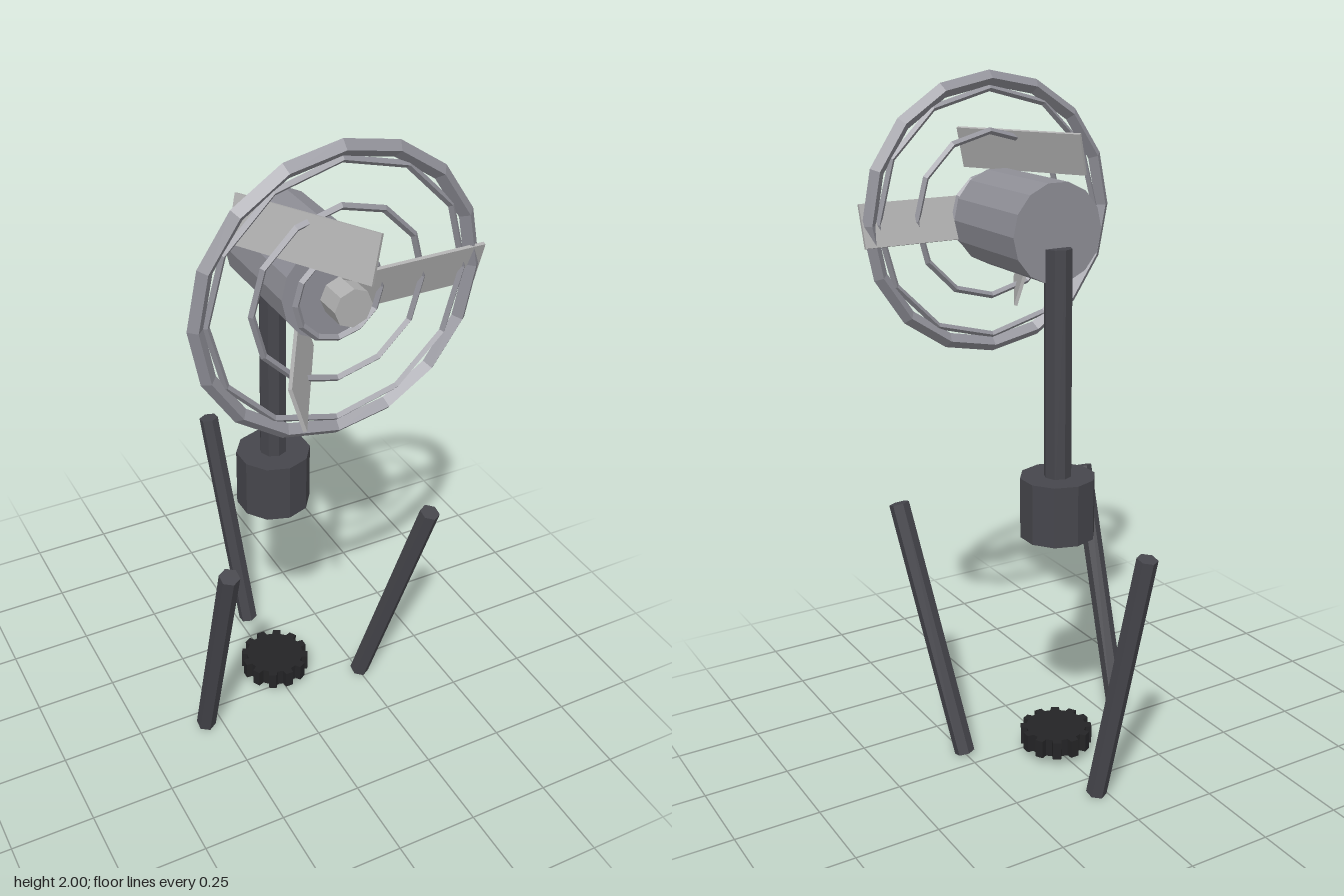
import * as THREE from 'three';

const material = (color) => new THREE.MeshStandardMaterial({ color, flatShading: true });

export function createModel() {
  const model = new THREE.Group();
  const dark = material(0x46464c);
  const black = material(0x242426);
  const steel = material(0x8e8e96);
  const light = material(0xb0b0b0);
  const AXIS_Y = 1.59, POLE_Z = -0.065, RING_Z = 0.308;

  const add = (name, geometry, mat, x, y, z, parent = model) => {
    const mesh = new THREE.Mesh(geometry, mat);
    mesh.name = name;
    mesh.position.set(x, y, z);
    parent.add(mesh);
    return mesh;
  };

  // Toothed foot disc
  const gear = new THREE.Shape();
  const teeth = 12;
  for (let i = 0; i < teeth; i++) {
    [[-0.3, 0.09], [-0.22, 0.108], [0.22, 0.108], [0.3, 0.09]].forEach(([t, r], k) => {
      const a = ((i + t) / teeth) * Math.PI * 2;
      gear[i + k === 0 ? 'moveTo' : 'lineTo'](r * Math.cos(a), r * Math.sin(a));
    });
  }
  gear.closePath();
  const gearGeometry = new THREE.ExtrudeGeometry(gear, { depth: 0.055, bevelEnabled: false });
  gearGeometry.rotateX(-Math.PI / 2);
  add('footGear', gearGeometry, black, 0, 0.03, -0.06);

  // Three splayed legs, each from its bottom to its top centre
  const up = new THREE.Vector3(0, 1, 0);
  [
    ['rightLeg', [-0.3, 0.01, 0.056], [-0.3, 0.769, 0.27]],
    ['leftLeg', [0.252, 0.01, 0.06], [0.345, 0.769, 0.268]],
    ['backLeg', [0.032, 0.01, -0.333], [-0.032, 0.776, -0.468]],
  ].forEach(([name, a, b]) => {
    const p = new THREE.Vector3(...a), q = new THREE.Vector3(...b);
    const c = p.clone().add(q).multiplyScalar(0.5);
    const leg = add(name, new THREE.CylinderGeometry(0.03, 0.03, p.distanceTo(q), 6), dark, c.x, c.y, c.z);
    leg.quaternion.setFromUnitVectors(up, q.sub(p).normalize());
  });

  // Collar and pole
  add('collar', new THREE.CylinderGeometry(0.11, 0.11, 0.18, 10), dark, 0, 0.805, POLE_Z);
  add('pole', new THREE.CylinderGeometry(0.04, 0.04, 0.75, 8), dark, 0, 1.175, POLE_Z);

  // Motor housing and hub nut, lying along z
  const motor = new THREE.CylinderGeometry(0.14, 0.14, 0.335, 14).rotateX(Math.PI / 2).rotateZ(Math.PI / 2);
  add('motorHousing', motor, steel, 0, AXIS_Y, 0.1025);
  const nut = new THREE.CylinderGeometry(0.053, 0.053, 0.075, 8).rotateX(Math.PI / 2);
  add('hubNut', nut, light, 0, AXIS_Y, 0.3455);

  // Guard: outer rim and three thinner rings
  const guard = new THREE.Group();
  guard.name = 'guard';
  guard.position.set(0, AXIS_Y, RING_Z);
  model.add(guard);
  add('outerRim', new THREE.TorusGeometry(0.388, 0.022, 4, 16), steel, 0, 0, 0, guard);
  [0.12, 0.24, 0.36].forEach((r) =>
    add('guardRing', new THREE.TorusGeometry(r, 0.01, 4, 12), steel, 0, 0, 0, guard));

  // Blades around the hub, each tilted and then turned about the vertical
  const blades = new THREE.Group();
  blades.name = 'blades';
  blades.position.set(0, AXIS_Y, RING_Z);
  model.add(blades);
  for (let i = 0; i < 3; i++) {
    const a = (i * Math.PI * 2) / 3;
    const blade = add('blade', new THREE.BoxGeometry(0.41, 0.125, 0.01), light,
      0.205 * Math.cos(a), 0.205 * Math.sin(a), 0, blades);
    blade.rotation.set(0.3, a, 0, 'YXZ');
  }
  return model;
}
